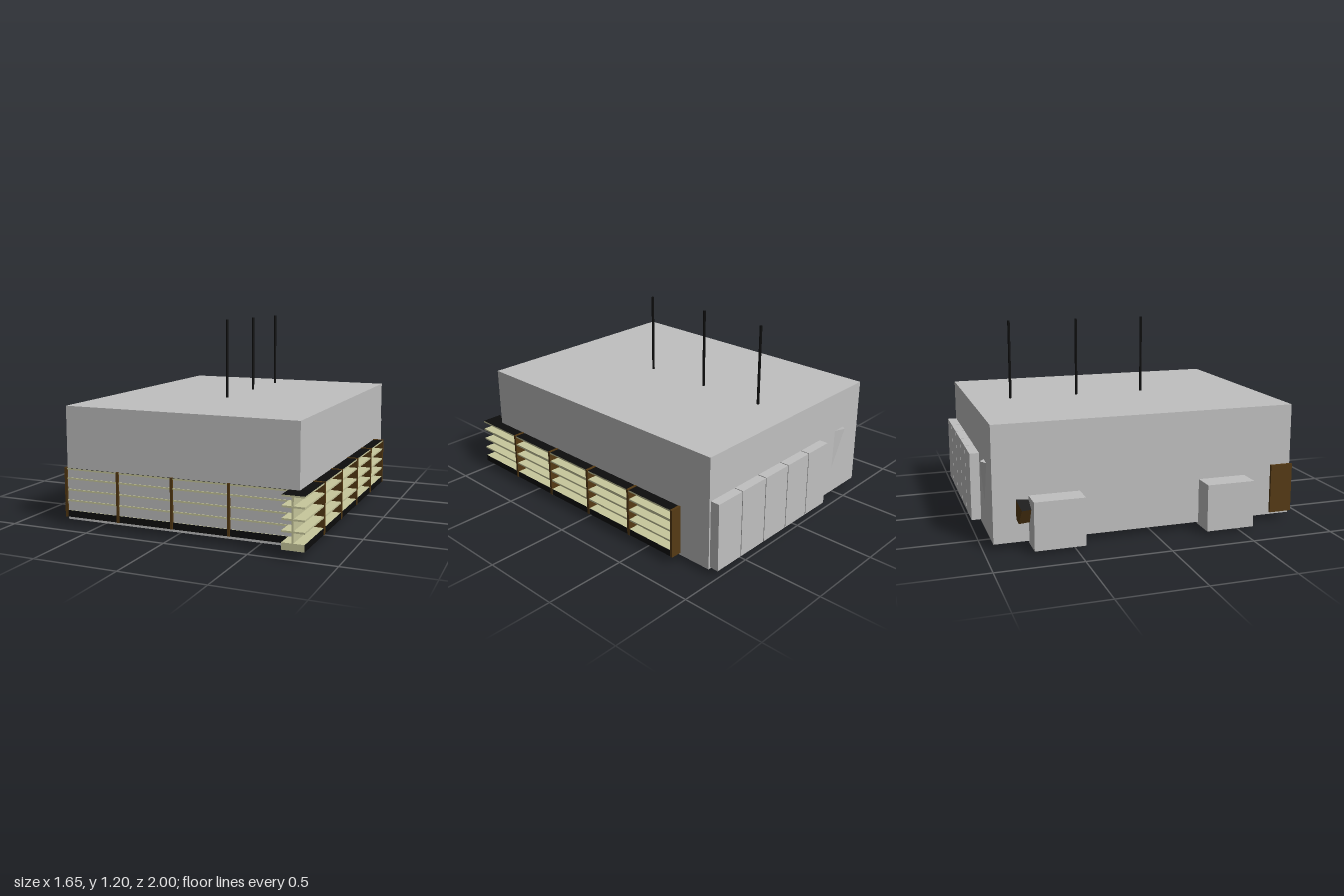
import * as THREE from 'three';

const mat = (name, color, side = THREE.FrontSide) => {
  const m = new THREE.MeshStandardMaterial({ color, side });
  m.name = name;
  return m;
};

export function createModel() {
  const grey = mat('wall grey', 0xc0c0c0);
  const black = mat('black', 0x0d0d0d);
  const cream = mat('cream', 0xc8c89c);
  const brown = mat('wood brown', 0x553a14);

  const model = new THREE.Group();
  model.name = 'building';

  const group = (name) => {
    const g = new THREE.Group();
    g.name = name;
    model.add(g);
    return g;
  };

  // Box given by its limits on each axis; a material array follows +x -x +y -y +z -z
  const block = (parent, name, material, [x0, x1], [y0, y1], [z0, z1]) => {
    const mesh = new THREE.Mesh(new THREE.BoxGeometry(x1 - x0, y1 - y0, z1 - z0), material);
    mesh.position.set((x0 + x1) / 2, (y0 + y1) / 2, (z0 + z1) / 2);
    mesh.name = name;
    parent.add(mesh);
    return mesh;
  };

  // Main hall
  block(model, 'mainHall', grey, [-0.69, 0.752], [0.035, 0.715], [-0.943, 0.886]);

  // Roof masts
  const masts = group('roofMasts');
  for (const z of [-0.69, -0.263, 0.173]) {
    const mast = new THREE.Mesh(new THREE.CylinderGeometry(0.008, 0.008, 0.5, 10), black);
    mast.position.set(0.03, 0.95, z);
    mast.name = 'mast';
    masts.add(mast);
  }

  // Two annexes on the right wall
  for (const z of [-0.74, 0.287]) {
    block(model, 'sideAnnex', grey, [-0.825, -0.67], [0.02, 0.3], [z, z + 0.295]);
  }

  // Row of panels along the back wall
  const panels = group('backPanels');
  const edges = [-0.272, -0.073, 0.131, 0.338, 0.545, 0.745];
  for (let i = 0; i < edges.length - 1; i++) {
    block(panels, 'backPanel', grey, [edges[i] + 0.003, edges[i + 1] - 0.003], [0.045, 0.455], [-1, -0.93]);
  }

  // Shelf boards: cream on top and edges, black below; the highest is black on top
  const boardMats = [cream, cream, cream, black, cream, cream];
  const topMats = [cream, cream, black, black, cream, cream];
  const levels = [0.15, 0.215, 0.283, 0.34];
  const shelfStack = (parent, xs, zs, plinthMats) => {
    levels.forEach((y, i) =>
      block(parent, 'shelfBoard', i === 3 ? topMats : boardMats, xs, [y - 0.005, y + 0.005], zs));
    block(parent, 'plinth', plinthMats, xs, [0.05, 0.09], zs);
  };

  // Shelving along the left wall
  const side = group('sideShelving');
  shelfStack(side, [0.69, 0.818], [-0.73, 1], [black, black, cream, black, cream, black]);
  block(side, 'shelfBack', cream, [0.745, 0.756], [0.05, 0.343], [-0.73, 0.998]);
  for (const z of [0.655, 0.31, -0.04, -0.388, -0.728]) {
    block(side, 'divider', brown, [0.69, 0.822], [0.05, 0.348], [z - 0.008, z + 0.008]);
  }

  // Shelving set into the front wall
  const front = group('frontShelving');
  shelfStack(front, [-0.7, 0.69], [0.76, 0.891], [black, black, cream, black, black, black]);
  for (const x of [-0.698, -0.35, -0.002, 0.346]) {
    block(front, 'divider', brown, [x - 0.008, x + 0.008], [0.05, 0.348], [0.756, 0.896]);
  }

  // Small wedge from three outline corners on a surface and one raised tip
  const wedge = (name, material, a, b, c, tip) => {
    const geo = new THREE.BufferGeometry();
    const faces = [a, b, tip, b, c, tip, c, a, tip, a, c, b];
    geo.setAttribute('position', new THREE.Float32BufferAttribute(faces.flat(), 3));
    geo.computeVertexNormals();
    const mesh = new THREE.Mesh(geo, material);
    mesh.name = name;
    model.add(mesh);
  };

  // Spike on the back wall: wide at the top, pointed below
  wedge('backSpike', grey, [-0.53, 0.46, -0.94], [-0.43, 0.46, -0.94], [-0.42, 0.18, -0.94], [-0.495, 0.465, -0.975]);

  // Tilted post end sticking out of the right wall
  const stub = block(model, 'postEnd', [brown, brown, black, black, brown, brown],
    [-0.745, -0.64], [0.17, 0.27], [-0.81, -0.72]);
  stub.rotation.set(0, 0.2, 0.5);

  // Bar lying under the floor
  const bar = block(model, 'floorBar', black, [-0.56, -0.52], [0.004, 0.045], [-0.845, -0.465]);
  bar.rotation.y = 0.26;

  // Small corners poking through the floor; black ones lie beside the brown
  wedge('floorCornerBrown', brown, [0.6, 0.036, 0.3], [0.7, 0.036, 0.3], [0.68, 0.036, 0.15], [0.69, 0.02, 0.22]);
  wedge('floorCornerBlack', black, [0.61, 0.036, 0.3], [0.66, 0.036, 0.23], [0.67, 0.036, 0.14], [0.69, 0.021, 0.2]);
  wedge('floorCornerRear', black, [-0.59, 0.036, -0.32], [-0.53, 0.036, -0.33], [-0.54, 0.036, -0.41], [-0.56, 0.015, -0.37]);
  wedge('floorCornerGrey', grey, [-0.51, 0.036, -0.46], [-0.46, 0.036, -0.46], [-0.5, 0.036, -0.56], [-0.495, 0, -0.5]);
  return model;
}
